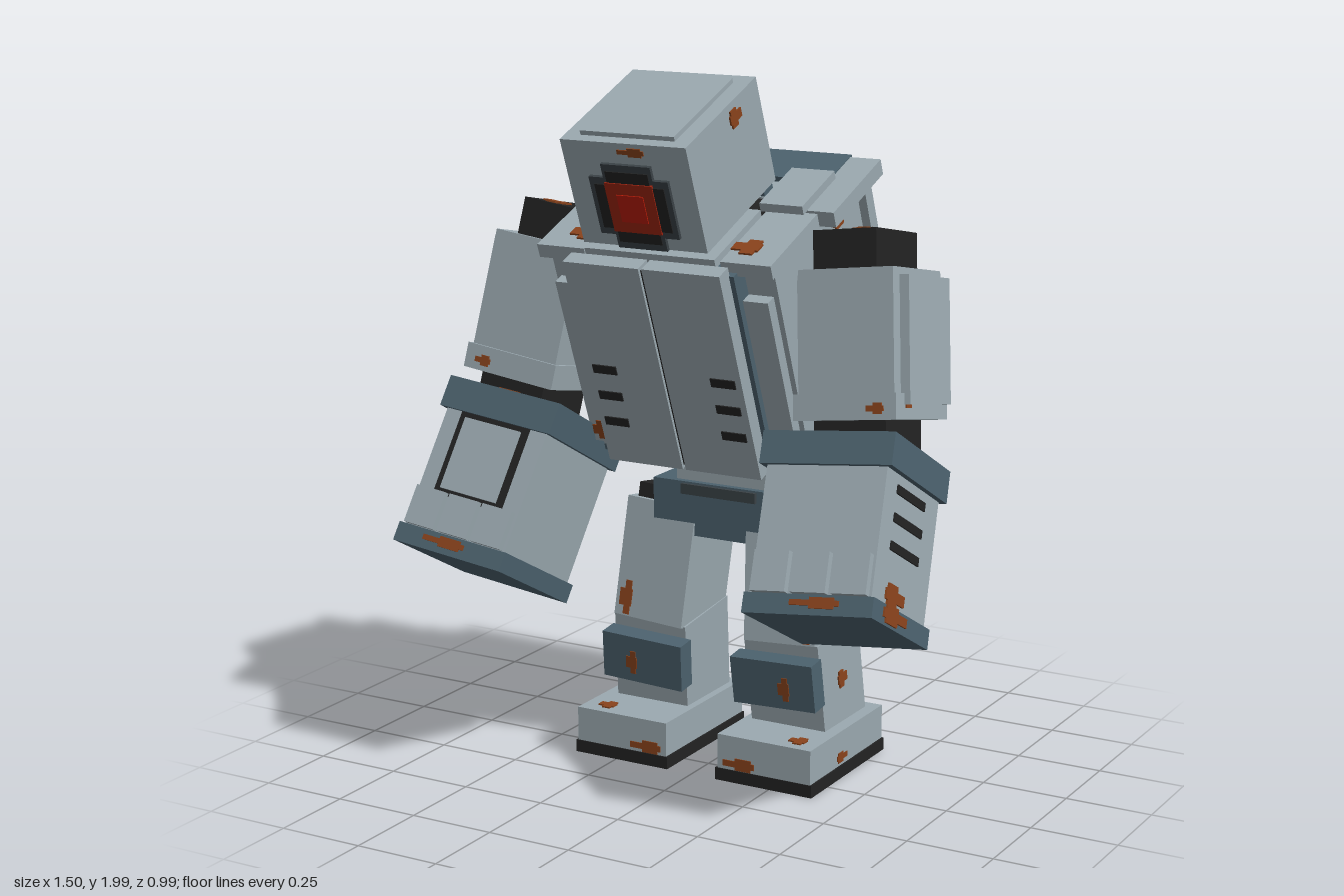
import * as THREE from 'three';

const mat = (name, color) => {
  const m = new THREE.MeshStandardMaterial({ color });
  m.name = name;
  return m;
};

export function createModel() {
  const grey = mat('pale steel', 0x9ba9b0);
  const slate = mat('blue slate', 0x4c626e);
  const black = mat('black rubber', 0x222222);
  const iron = mat('dark iron', 0x3a4246);
  const red = mat('eye red', 0x9c2410);
  const glow = mat('eye core', 0xb81c08);
  const rust = mat('rust', 0x8a431c);

  const model = new THREE.Group();
  model.name = 'robot';

  const group = (name, pos, rot = [0, 0, 0], parent = model) => {
    const g = new THREE.Group();
    g.name = name;
    g.position.set(...pos);
    g.rotation.set(...rot);
    parent.add(g);
    return g;
  };
  const box = (parent, name, m, size, pos, rot = [0, 0, 0]) => {
    const b = new THREE.Mesh(new THREE.BoxGeometry(...size), m);
    b.name = name;
    b.position.set(...pos);
    b.rotation.set(...rot);
    parent.add(b);
    return b;
  };
  // ragged rust patch: two crossing thin plates lying across the given axis
  const patch = (parent, axis, pos, a, b) => {
    const t = 0.008;
    [[a, b * 0.5, 0], [a * 0.5, b, a * 0.15]].forEach(([p, q, off]) => {
      const size = axis === 'x' ? [t, q, p] : axis === 'y' ? [p, t, q] : [p, q, t];
      const at = [...pos];
      at[axis === 'x' ? 2 : 0] += off;
      box(parent, 'rustPatch', rust, size, at);
    });
  };

  // torso, leaning forward
  const torso = group('torso', [0, 1.305, -0.1], [0.375, 0, 0]);
  box(torso, 'chestBody', grey, [0.69, 0.64, 0.53], [0, 0.005, 0]);
  box(torso, 'chestUnderside', slate, [0.69, 0.02, 0.53], [0, -0.325, 0]);
  box(torso, 'frontSurround', grey, [0.66, 0.52, 0.04], [0, -0.02, 0.28]);
  box(torso, 'doorBacking', slate, [0.51, 0.6, 0.06], [0, 0.025, 0.29]);
  box(torso, 'doorSeam', black, [0.03, 0.62, 0.03], [0, 0.03, 0.342]);
  // back grille
  box(torso, 'backPlate', grey, [0.74, 0.6, 0.04], [0, 0.01, -0.255]);
  box(torso, 'grilleTopBar', grey, [0.635, 0.055, 0.06], [0, 0.245, -0.295]);
  box(torso, 'grilleBottomBar', grey, [0.635, 0.05, 0.07], [0, -0.2, -0.295]);
  for (let i = -2; i <= 2; i++)
    box(torso, 'grilleSlat', slate, [0.07, 0.37, 0.02], [i * 0.128, 0.02, -0.285]);
  // top deck and neck
  box(torso, 'rearDeck', slate, [0.635, 0.05, 0.15], [0, 0.34, -0.215]);
  box(torso, 'neckPlate', grey, [0.4, 0.03, 0.1], [0, 0.335, -0.1]);
  box(torso, 'neckWell', black, [0.39, 0.03, 0.3], [0, 0.33, 0.1]);
  box(torso, 'neck', black, [0.22, 0.1, 0.2], [0, 0.37, 0.14]);
  box(torso, 'collar', grey, [0.4, 0.025, 0.27], [0, 0.352, 0.175]);

  for (const s of [1, -1]) {
    box(torso, 'chestDoor', grey, [0.236, 0.64, 0.05], [s * 0.123, 0.03, 0.341]);
    for (const y of [0.015, -0.07, -0.155])
      box(torso, 'doorVent', black, [0.075, 0.026, 0.008], [s * 0.185, y, 0.366]);
    box(torso, 'rearShoulderPlate', grey, [0.19, 0.045, 0.3], [s * 0.315, 0.34, -0.13]);
    box(torso, 'frontShoulderPlate', grey, [0.15, 0.04, 0.28], [s * 0.285, 0.335, 0.16]);
    box(torso, 'raisedPlate', grey, [0.13, 0.025, 0.2], [s * 0.265, 0.373, -0.06]);
    box(torso, 'neckKnob', slate, [0.065, 0.05, 0.05], [s * 0.13, 0.375, -0.08]);
    patch(torso, 'z', [s * 0.3, -0.24, 0.299], 0.06, 0.06);
    patch(torso, 'y', [s * 0.25, 0.356, 0.22], 0.08, 0.07);
  }
  patch(torso, 'x', [0.346, 0.27, -0.12], 0.09, 0.05);
  patch(torso, 'x', [-0.346, 0.27, -0.12], 0.09, 0.05);
  patch(torso, 'y', [-0.25, 0.387, -0.05], 0.07, 0.06);
  patch(torso, 'y', [-0.08, 0.366, -0.16], 0.09, 0.04);
  patch(torso, 'z', [0.15, -0.2, -0.331], 0.06, 0.03);
  patch(torso, 'z', [-0.3, 0.265, -0.276], 0.1, 0.05);
  patch(torso, 'y', [0.05, -0.336, -0.2], 0.14, 0.07);

  // head with a stepped single eye
  const head = group('head', [0, 1.768, 0.21], [0.38, 0, 0]);
  box(head, 'headBlock', grey, [0.38, 0.31, 0.4], [0, 0, 0]);
  box(head, 'headTopPanel', grey, [0.285, 0.016, 0.33], [0, 0.16, 0.005]);
  box(head, 'eyeFrameWide', iron, [0.24, 0.17, 0.014], [0, -0.03, 0.203]);
  box(head, 'eyeFrameTall', iron, [0.15, 0.25, 0.014], [0, -0.03, 0.203]);
  box(head, 'eyeSocketWide', black, [0.21, 0.13, 0.008], [0, -0.03, 0.209]);
  box(head, 'eyeSocketTall', black, [0.13, 0.21, 0.008], [0, -0.03, 0.209]);
  box(head, 'eyeLens', red, [0.145, 0.145, 0.008], [0, -0.03, 0.212]);
  box(head, 'eyeCore', glow, [0.08, 0.08, 0.008], [0, -0.03, 0.215]);
  patch(head, 'x', [0.191, 0.11, -0.06], 0.06, 0.05);
  patch(head, 'z', [0.02, 0.13, 0.199], 0.08, 0.025);
  patch(head, 'z', [0.06, 0.09, -0.199], 0.06, 0.02);

  // waist and pelvis
  box(model, 'waist', grey, [0.3, 0.28, 0.23], [0, 0.92, -0.195]);
  box(model, 'spine', slate, [0.15, 0.3, 0.05], [0, 0.94, -0.335]);
  box(model, 'waistSlot', black, [0.24, 0.025, 0.008], [0, 0.865, -0.079]);
  box(model, 'waistTrim', iron, [0.24, 0.03, 0.03], [0, 0.79, -0.065]);
  box(model, 'pelvis', slate, [0.43, 0.12, 0.27], [0, 0.75, -0.195]);
  box(model, 'pelvisLower', slate, [0.22, 0.05, 0.25], [0, 0.675, -0.195]);

  for (const s of [1, -1]) {
    // arm
    const upper = group('upperArm', [s * 0.505, 1.28, 0.015], [-0.2, 0, s * 0.125]);
    box(upper, 'shoulderJoint', black, [0.185, 0.16, 0.255], [-s * 0.01, 0.225, 0.0]);
    box(upper, 'upperArmBlock', grey, [0.28, 0.4, 0.3], [0, 0, 0]);
    box(upper, 'outerArmPad', grey, [0.03, 0.34, 0.26], [s * 0.152, 0.01, -0.02]);
    box(upper, 'upperArmCuff', grey, [0.3, 0.07, 0.325], [0, -0.165, 0]);
    box(upper, 'elbow', black, [0.21, 0.16, 0.22], [0, -0.27, 0.02]);
    patch(upper, 'x', [s * 0.151, -0.15, 0.08], 0.06, 0.04);
    patch(upper, 'z', [s * 0.09, -0.17, 0.163], 0.05, 0.03);
    patch(upper, 'y', [s * 0.02, 0.306, 0.06], 0.06, 0.09);

    const fore = group('forearm', [s * 0.535, 0.79, 0.2], [-0.49, 0, s * 0.11]);
    box(fore, 'forearmBlock', grey, [0.345, 0.42, 0.36], [0, -0.01, 0]);
    box(fore, 'wristBand', slate, [0.38, 0.09, 0.39], [0, 0.2, 0]);
    box(fore, 'fistBase', slate, [0.37, 0.055, 0.385], [0, -0.22, 0]);
    for (const y of [0.115, 0.04, -0.035])
      box(fore, 'forearmVent', black, [0.008, 0.024, 0.19], [s * 0.173, y, 0.01]);
    for (const x of [-0.115, 0, 0.115])
      box(fore, 'knuckle', grey, [0.1, 0.11, 0.035], [x, -0.135, 0.185]);
    if (s < 0) {
      box(fore, 'hatchGap', black, [0.235, 0.25, 0.008], [0, 0.035, 0.181]);
      box(fore, 'hatch', grey, [0.19, 0.21, 0.02], [0, 0.035, 0.184]);
    }
    patch(fore, 'x', [s * 0.186, -0.215, 0.05], 0.15, 0.05);
    patch(fore, 'x', [s * 0.174, -0.16, 0.04], 0.12, 0.06);
    patch(fore, 'z', [s * 0.02, -0.215, 0.193], 0.14, 0.03);
    patch(fore, 'z', [-s * 0.08, 0.2, -0.196], 0.07, 0.04);
    patch(fore, 'y', [s * 0.02, 0.246, 0.15], 0.14, 0.05);

    // leg
    box(model, 'hipJoint', black, [0.16, 0.08, 0.21], [s * 0.205, 0.72, -0.195], [-0.15, 0, s * 0.06]);
    const thigh = group('thigh', [s * 0.205, 0.545, -0.17], [-0.14, 0, s * 0.06]);
    box(thigh, 'thighBlock', grey, [0.225, 0.35, 0.25], [0, 0, 0]);
    patch(thigh, 'z', [s * 0.08, -0.12, 0.124], 0.04, 0.1);
    const shin = group('shin', [s * 0.22, 0.26, -0.175], [0.12, 0, s * 0.04]);
    box(shin, 'shinBlock', grey, [0.235, 0.29, 0.25], [0, 0, 0]);
    box(shin, 'kneePad', slate, [0.26, 0.14, 0.06], [-s * 0.005, 0.04, 0.155]);
    patch(shin, 'x', [s * 0.118, 0, 0.0], 0.05, 0.05);
    patch(shin, 'z', [s * 0.03, 0.03, 0.184], 0.035, 0.07);
    const foot = group('foot', [s * 0.232, 0, -0.127]);
    box(foot, 'footBlock', grey, [0.295, 0.1, 0.45], [0, 0.086, 0]);
    box(foot, 'sole', black, [0.306, 0.036, 0.456], [0, 0.018, 0]);
    patch(foot, 'x', [s * 0.146, 0.06, 0.03], 0.06, 0.03);
    patch(foot, 'z', [-s * 0.08, 0.055, 0.224], 0.1, 0.035);
    patch(foot, 'y', [s * 0.08, 0.136, 0.17], 0.05, 0.05);
  }
  return model;
}
